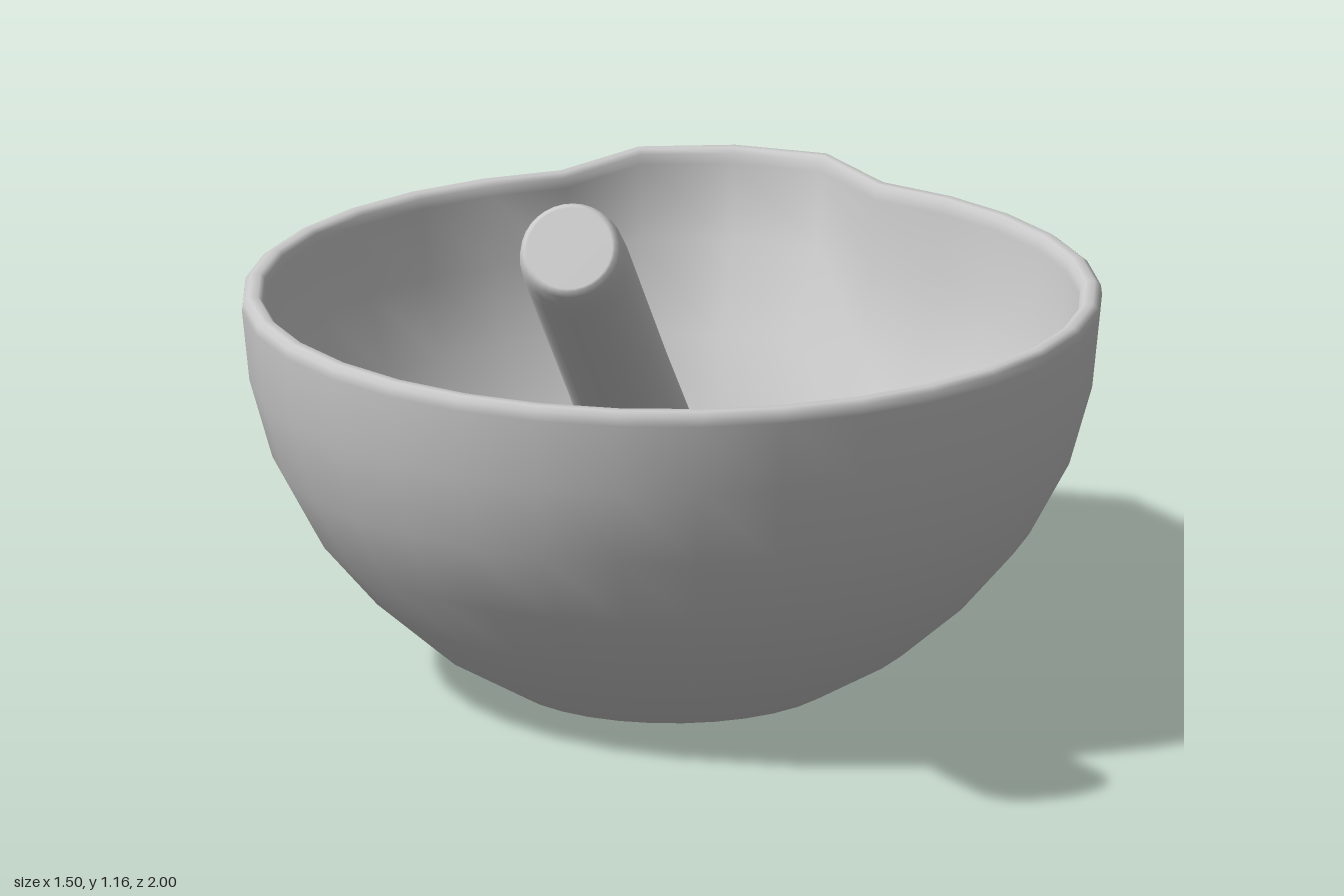
import * as THREE from 'three';
import { mergeVertices } from 'three/addons/utils/BufferGeometryUtils.js';

const points = (list) => list.map(([r, y]) => new THREE.Vector2(r, y));

export function createModel() {
  const group = new THREE.Group();
  const material = new THREE.MeshStandardMaterial({ color: 0xcccccc });
  const add = (name, geometry) => {
    const mesh = new THREE.Mesh(geometry, material);
    mesh.name = name;
    group.add(mesh);
    return mesh;
  };
  const bowlZ = -0.13;
  const sides = 32;

  // Bowl: outer wall, rounded rim, inner wall and floor in one lathe
  let bowl = new THREE.LatheGeometry(points([
    [0.29, 0], [0.42, 0.075], [0.53, 0.17], [0.625, 0.28], [0.695, 0.41], [0.735, 0.55],
    [0.748, 0.675], [0.746, 0.692], [0.736, 0.7], [0.72, 0.7], [0.712, 0.692], [0.708, 0.675],
    [0.697, 0.55], [0.657, 0.42], [0.59, 0.3], [0.5, 0.19], [0.39, 0.1], [0.27, 0.045], [0, 0.045],
  ]), sides);

  // Pouring spout: push the upper rows outwards at the back
  const p = bowl.attributes.position;
  for (let i = 0; i < p.count; i++) {
    const x = p.getX(i), y = p.getY(i), z = p.getZ(i);
    if (y < 0.5) continue;
    const r = Math.hypot(x, z);
    const angle = Math.abs(Math.atan2(x, -z));
    const push = angle < 0.1 ? 0.12 : angle < 0.25 ? 0.105 : 0;
    if (!push) continue;
    const k = (r + push * (y < 0.6 ? 0.88 : 1)) / r;
    p.setXYZ(i, x * k, y > 0.65 ? y + 0.004 : y, z * k);
  }
  bowl.deleteAttribute('uv');
  bowl.deleteAttribute('normal');
  bowl = mergeVertices(bowl);
  bowl.computeVertexNormals();
  add('bowl', bowl).position.z = bowlZ;

  // Flat foot under the bowl, with a sharp edge
  const foot = new THREE.CircleGeometry(0.29, sides);
  foot.rotateX(Math.PI / 2);
  add('bowlFoot', foot).position.z = bowlZ;

  // Pestle: rounded grinding head, flared neck and long handle
  const pestle = add('pestle', new THREE.LatheGeometry(points([
    [0, -0.15], [0.08, -0.137], [0.15, -0.088], [0.185, -0.03], [0.195, 0.03], [0.188, 0.09],
    [0.165, 0.17], [0.125, 0.255], [0.102, 0.3], [0.094, 0.35], [0.092, 0.8], [0.094, 1.34],
    [0.092, 1.39], [0.087, 1.415], [0.08, 1.424], [0.075, 1.425], [0, 1.425],
  ]), sides));
  pestle.position.set(0.003, 0.245, -0.19);
  const axis = new THREE.Vector3(-0.03, 0.597, 0.8).normalize();
  pestle.quaternion.setFromUnitVectors(new THREE.Vector3(0, 1, 0), axis);

  return group;
}
